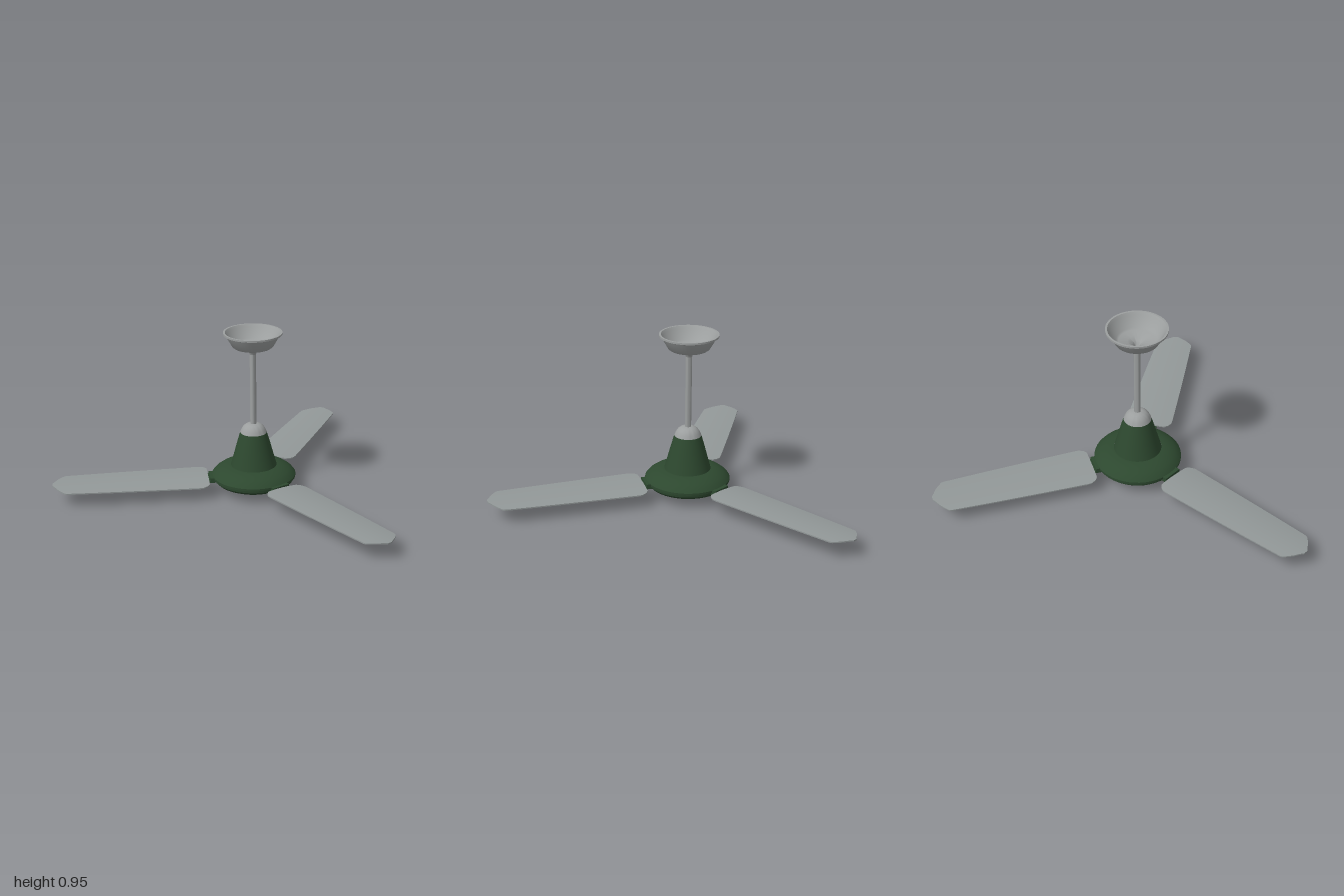
import * as THREE from 'three';
import { toCreasedNormals } from 'three/addons/utils/BufferGeometryUtils.js';

const mat = (name, color) => Object.assign(new THREE.MeshStandardMaterial({ color }), { name });

export function createModel() {
  const green = mat('dark green enamel', 0x2d482f);
  const silver = mat('silver metal', 0x9c9f9f);
  const bladeGrey = mat('blade grey', 0x929898);

  const root = new THREE.Group();
  root.name = 'ceilingFan';
  const fan = new THREE.Group();
  fan.name = 'fan';
  fan.position.x = -0.263;
  root.add(fan);

  const add = (parent, name, geometry, material) => {
    const mesh = new THREE.Mesh(geometry, material);
    mesh.name = name;
    parent.add(mesh);
    return mesh;
  };
  const lathe = (name, points, material) => add(fan, name,
    toCreasedNormals(new THREE.LatheGeometry(points.map(p => new THREE.Vector2(...p)), 48), 0.6), material);

  // Motor housing: shallow dish below, domed shoulder above
  lathe('motorHousing', [
    [0, 0.022], [0.07, 0.022], [0.13, 0.03], [0.18, 0.043], [0.215, 0.06], [0.23, 0.075],
    [0.232, 0.088], [0.241, 0.092], [0.241, 0.104], [0.228, 0.12], [0.205, 0.137],
    [0.175, 0.151], [0.148, 0.158], [0.132, 0.16],
  ], green);
  lathe('bottomCap', [[0, 0], [0.05, 0], [0.056, 0.005], [0.056, 0.028]], silver);

  // Bell cover with a silver crown
  lathe('bellCover', [
    [0.132, 0.158], [0.126, 0.18], [0.112, 0.23], [0.096, 0.29], [0.083, 0.335], [0.076, 0.358],
  ], green);
  lathe('bellCrown', [
    [0.076, 0.358], [0.069, 0.376], [0.058, 0.393], [0.043, 0.405], [0.025, 0.411], [0, 0.412],
  ], silver);

  // Down rod
  lathe('downRod', [[0, 0.4], [0.018, 0.4], [0.018, 0.835], [0, 0.835]], silver);

  // Ceiling canopy: flared neck and a hollow bowl open at the top
  lathe('canopy', [
    [0.018, 0.825], [0.022, 0.838], [0.05, 0.868], [0.105, 0.868], [0.117, 0.877],
    [0.153, 0.94], [0.166, 0.945], [0.166, 0.955], [0.155, 0.955], [0.146, 0.942],
    [0.11, 0.885], [0.098, 0.878], [0.05, 0.876], [0.022, 0.858], [0.012, 0.838], [0, 0.836],
  ], silver);

  // Blade: a thin slab shaped by [distance from hub, half width], cambered and pitched
  const stations = [
    [0.266, 0.1], [0.28, 0.12], [0.305, 0.133], [0.33, 0.134], [0.6, 0.127], [0.85, 0.119],
    [1.07, 0.11], [1.085, 0.106], [1.105, 0.085], [1.125, 0.06], [1.14, 0.033], [1.154, 0.012],
  ];
  const n = stations.length - 1;
  const bladeGeo = new THREE.BoxGeometry(n, 0.007, 2, n, 1, 10);
  const pos = bladeGeo.attributes.position;
  for (let i = 0; i < pos.count; i++) {
    const [r, w] = stations[Math.round(pos.getX(i) + n / 2)];
    const z = pos.getZ(i) * w;
    pos.setXYZ(i, r, pos.getY(i) + 0.099 + 0.065 * z - 0.5 * z * z, z);
  }
  bladeGeo.computeVertexNormals();

  // Bracket plate under the blade root
  const plate = new THREE.Shape();
  plate.moveTo(0.2, -0.055);
  plate.lineTo(0.25, -0.055);
  plate.bezierCurveTo(0.28, -0.04, 0.32, -0.06, 0.345, -0.035);
  plate.quadraticCurveTo(0.36, 0, 0.345, 0.035);
  plate.bezierCurveTo(0.32, 0.06, 0.28, 0.04, 0.25, 0.055);
  plate.lineTo(0.2, 0.055);
  const plateGeo = new THREE.ExtrudeGeometry(plate, { depth: 0.012, bevelEnabled: false, curveSegments: 8 });
  plateGeo.rotateX(Math.PI / 2);

  for (let i = 0; i < 3; i++) {
    const arm = new THREE.Group();
    arm.name = 'bladeArm';
    arm.rotation.y = i * Math.PI * 2 / 3;
    fan.add(arm);
    add(arm, 'blade', bladeGeo, bladeGrey);
    const bracket = add(arm, 'bladeBracket', plateGeo, green);
    bracket.position.y = 0.093;
    bracket.rotation.x = -0.065;
    // Clamp joining the bracket to the housing rim
    const clamp = add(arm, 'bracketClamp', new THREE.BoxGeometry(0.04, 0.028, 0.11), green);
    clamp.position.set(0.238, 0.092, 0);
    // Screws under the blade
    for (const z of [-0.025, 0.025]) {
      const screw = add(arm, 'bracketScrew', new THREE.CylinderGeometry(0.009, 0.009, 0.006, 12), silver);
      screw.position.set(0.325, 0.08 + 0.065 * z, z);
    }
  }
  return root;
}
